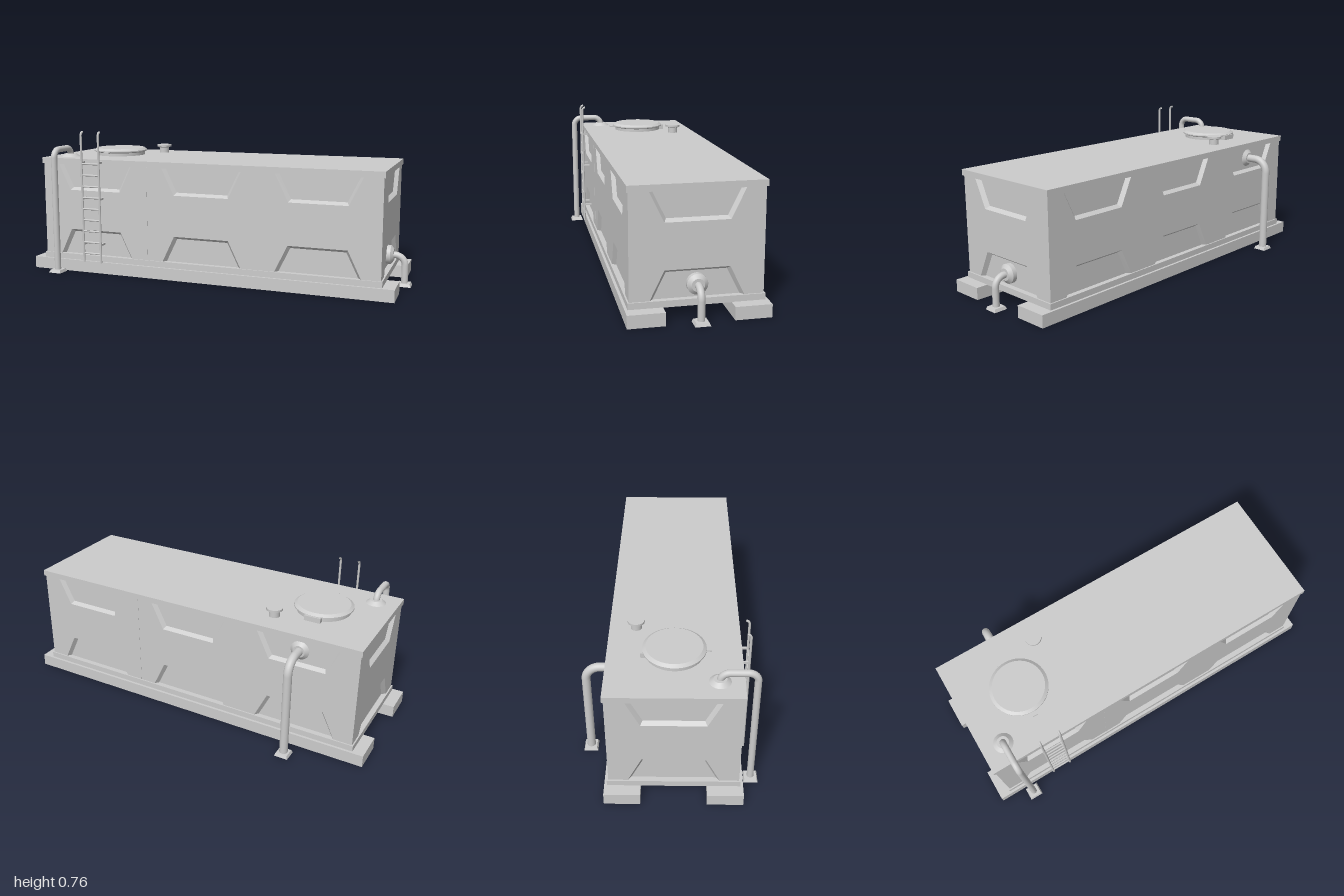
import * as THREE from 'three';

const mat = new THREE.MeshStandardMaterial({ color: 0xcccccc });
const thinMat = new THREE.MeshStandardMaterial({ color: 0xcccccc, side: THREE.DoubleSide });
const V = (x, y, z) => new THREE.Vector3(x, y, z);

// Tank extents
const X0 = -0.935, X1 = 0.893, Z0 = -0.28, Z1 = 0.33;
const CX = (X0 + X1) / 2, CZ = (Z0 + Z1) / 2, DEPTH = 0.02;

function add(parent, name, geo, x = 0, y = 0, z = 0, m = mat) {
  const mesh = new THREE.Mesh(geo, m);
  mesh.name = name;
  mesh.position.set(x, y, z);
  parent.add(mesh);
  return mesh;
}

// Box given by its min and max corners
function box(parent, name, x0, x1, y0, y1, z0, z1) {
  return add(parent, name, new THREE.BoxGeometry(x1 - x0, y1 - y0, z1 - z0),
    (x0 + x1) / 2, (y0 + y1) / 2, (z0 + z1) / 2);
}

// Stack of sharp-edged rings; each ring is [bottom radius, top radius, y0, y1]
function rings(parent, name, list, x, y, z, sides = 40) {
  const g = new THREE.Group();
  g.name = name;
  g.position.set(x, y, z);
  for (const [rb, rt, y0, y1] of list) {
    add(g, name + 'Ring', new THREE.CylinderGeometry(rt, rb, y1 - y0, sides), 0, (y0 + y1) / 2, 0);
  }
  parent.add(g);
  return g;
}

// Polyline with rounded corners
function roundedPath(pts, r) {
  const path = new THREE.CurvePath();
  let last = pts[0];
  for (let i = 1; i < pts.length - 1; i++) {
    const p = pts[i];
    const din = pts[i - 1].clone().sub(p).normalize(), dout = pts[i + 1].clone().sub(p).normalize();
    const a = p.clone().addScaledVector(din, r), b = p.clone().addScaledVector(dout, r);
    path.add(new THREE.LineCurve3(last, a));
    path.add(new THREE.CubicBezierCurve3(a, p.clone().addScaledVector(din, r * 0.45),
      p.clone().addScaledVector(dout, r * 0.45), b));
    last = b;
  }
  path.add(new THREE.LineCurve3(last, pts[pts.length - 1]));
  return path;
}

function pipe(parent, name, pts, radius, bend, sides = 20, steps = 90) {
  return add(parent, name, new THREE.TubeGeometry(roundedPath(pts, bend), steps, radius, sides), 0, 0, 0, thinMat);
}

// Square tapered foot under a pipe
function foot(parent, name, x, z) {
  const geo = new THREE.CylinderGeometry(0.029 * Math.SQRT2, 0.035 * Math.SQRT2, 0.015, 4, 1).toNonIndexed();
  geo.rotateY(Math.PI / 4);
  geo.computeVertexNormals();
  add(parent, name, geo, x, 0.0075, z);
}

// Trapezoid outline, counter-clockwise, open edge last; upper ones are turned by 180 degrees
function trapezoid(u, upper, wide, narrow, top) {
  return [[wide, 0.09], [narrow, top], [-narrow, top], [-wide, 0.09]]
    .map(([a, b]) => upper ? [u - a, 0.67 - b] : [u + a, b]);
}

// Sloped sides and floor of a recess
function recessGeometry(outer, inner) {
  const pos = [];
  const o = outer.map(p => [...p, 0]), n = inner.map(p => [...p, -DEPTH]);
  const quad = (a, b, c, d) => pos.push(...a, ...b, ...c, ...a, ...c, ...d);
  for (let i = 0; i < 3; i++) quad(o[i], o[i + 1], n[i + 1], n[i]);
  quad(n[0], n[1], n[2], n[3]);
  const geo = new THREE.BufferGeometry();
  geo.setAttribute('position', new THREE.Float32BufferAttribute(pos, 3));
  geo.computeVertexNormals();
  return geo;
}

// Wall in its own plane, facing +z, with trapezoid recesses above and below
function wall(name, width, centres, seam) {
  const g = new THREE.Group();
  g.name = name;
  const w = width / 2;
  const shape = new THREE.Shape([[-w, 0.06], [w, 0.06], [w, 0.61], [-w, 0.61]].map(p => new THREE.Vector2(...p)));
  for (const u of centres) {
    for (const upper of [false, true]) {
      const outer = trapezoid(u, upper, 0.215, 0.148, 0.228);
      const inner = trapezoid(u, upper, 0.199, 0.138, 0.214);
      shape.holes.push(new THREE.Path(outer.map(p => new THREE.Vector2(...p))));
      add(g, 'wallRecess', recessGeometry(outer, inner));
    }
  }
  add(g, 'wallPanel', new THREE.ShapeGeometry(shape));
  if (seam !== undefined) box(g, 'wallSeam', seam - 0.001, seam + 0.001, 0.09, 0.58, -0.002, 0.001);
  return g;
}

export function createModel() {
  const model = new THREE.Group();
  model.name = 'storageTank';

  // Skid beams
  box(model, 'frontSkid', -1, 0.96, 0, 0.062, 0.18, 0.35);
  box(model, 'backSkid', -1, 0.96, 0, 0.062, -0.3, -0.13);

  // Tank walls, with base and roof plates that close the recesses
  const long = [-0.605, 0, 0.605];
  const walls = [
    ['frontWall', X1 - X0, long, -0.3, CX, Z1, 0],
    ['backWall', X1 - X0, long, -0.3, CX, Z0, Math.PI],
    ['leftWall', Z1 - Z0, [0], undefined, X1, CZ, Math.PI / 2],
    ['rightWall', Z1 - Z0, [0], undefined, X0, CZ, -Math.PI / 2],
  ];
  for (const [name, width, centres, seam, x, z, turn] of walls) {
    const g = wall(name, width, centres, seam);
    g.position.set(x, 0, z);
    g.rotation.y = turn;
    model.add(g);
  }
  const e = 0.007;
  box(model, 'basePlate', X0 - e, X1 + e, 0.061, 0.092, Z0 - e, Z1 + e);
  box(model, 'roofPlate', X0 - e, X1 + e, 0.582, 0.612, Z0 - e, Z1 + e);

  // Manhole with lid, handle and hinge
  rings(model, 'manhole', [[0.135, 0.135, 0, 0.02], [0.135, 0.148, 0.016, 0.022],
    [0.148, 0.148, 0.022, 0.028], [0.148, 0.132, 0.028, 0.039]], -0.63, 0.612, 0.025, 48);
  box(model, 'lidHandle', -0.645, -0.615, 0.628, 0.636, 0.16, 0.195);
  box(model, 'lidHinge', -0.672, -0.588, 0.612, 0.638, -0.13, -0.105);

  // Roof vent
  rings(model, 'vent', [[0.027, 0.027, 0, 0.034], [0.027, 0.041, 0.03, 0.035],
    [0.041, 0.041, 0.035, 0.046]], -0.445, 0.612, -0.158, 28);

  // Inlet pipe over the front edge
  pipe(model, 'inletPipe', [V(-0.83, 0.01, 0.393), V(-0.83, 0.66, 0.393), V(-0.83, 0.66, 0.227),
    V(-0.83, 0.61, 0.227)], 0.0165, 0.042);
  rings(model, 'inletFlange', [[0.05, 0.03, 0, 0.016]], -0.83, 0.612, 0.227);
  foot(model, 'inletFoot', -0.83, 0.393);

  // Outlet pipe on the back
  pipe(model, 'outletPipe', [V(-0.63, 0.01, -0.391), V(-0.63, 0.52, -0.391), V(-0.63, 0.52, -0.262)], 0.021, 0.07);
  rings(model, 'outletFlange', [[0.048, 0.03, 0, 0.016]], -0.63, 0.52, Z0 + DEPTH).rotation.x = -Math.PI / 2;
  foot(model, 'outletFoot', -0.63, -0.391);

  // Drain pipe on the end wall
  pipe(model, 'drainPipe', [V(0.965, 0.01, 0.025), V(0.965, 0.155, 0.025), V(0.875, 0.155, 0.025)], 0.0165, 0.05);
  rings(model, 'drainFlange', [[0.048, 0.048, 0, 0.022], [0.048, 0.03, 0.022, 0.036]],
    X1 - DEPTH, 0.155, 0.025).rotation.z = -Math.PI / 2;
  foot(model, 'drainFoot', 0.965, 0.025);

  // Ladder with hooked rails, rungs and wall brackets
  const ladder = new THREE.Group();
  ladder.name = 'ladder';
  model.add(ladder);
  for (const x of [-0.681, -0.579]) {
    pipe(ladder, 'ladderRail', [V(x, 0.062, 0.366), V(x, 0.754, 0.366), V(x, 0.757, 0.35)], 0.006, 0.014, 8, 60);
    for (const y of [0.16, 0.405, 0.597]) {
      box(ladder, 'ladderBracket', x - 0.005, x + 0.005, y - 0.005, y + 0.005, 0.325, 0.366);
    }
  }
  for (let i = 0; i < 9; i++) {
    add(ladder, 'ladderRung', new THREE.CylinderGeometry(0.005, 0.005, 0.102, 8), -0.63, 0.11 + i * 0.06, 0.366)
      .rotation.z = Math.PI / 2;
  }
  return model;
}
